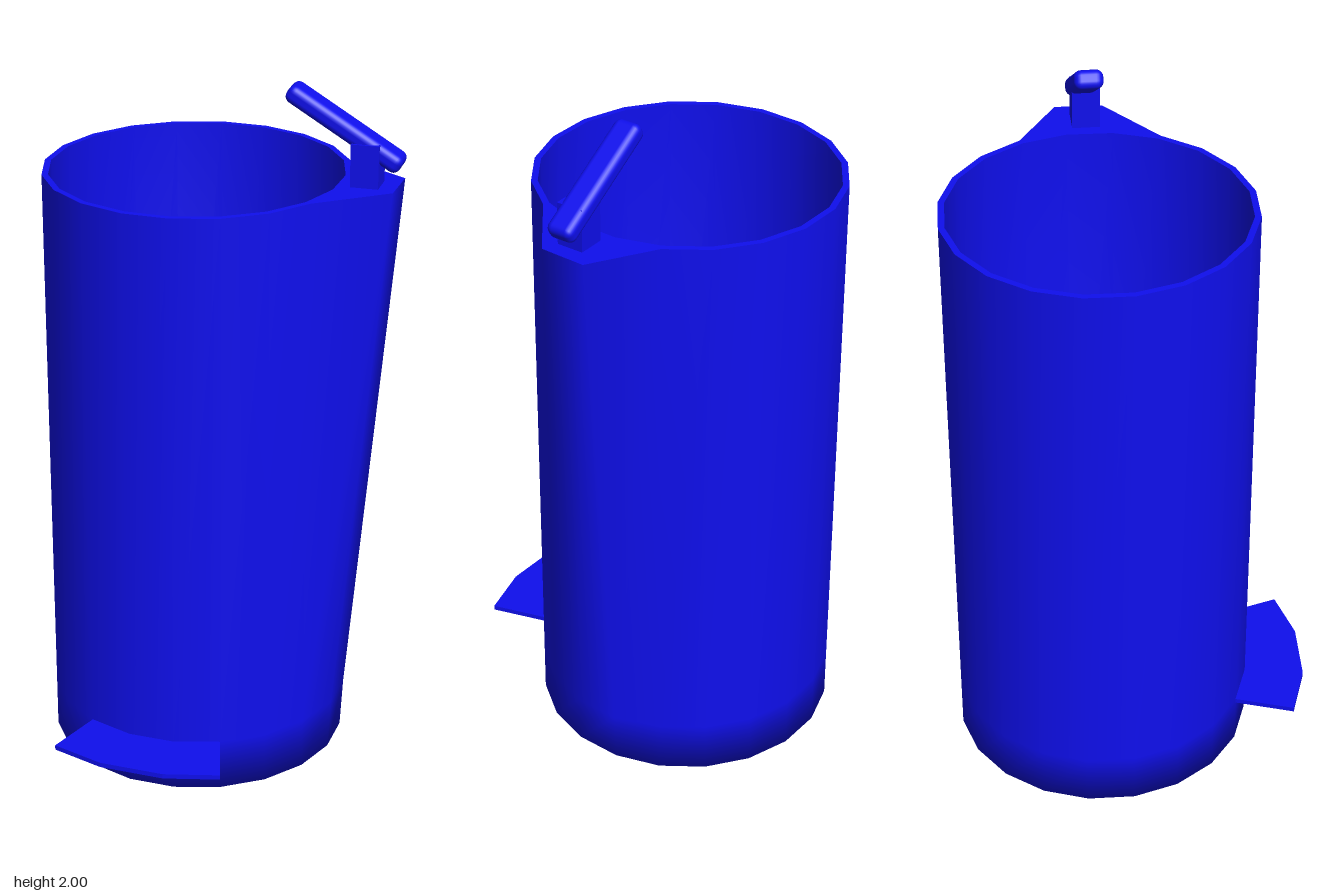
import * as THREE from 'three';
import { RoundedBoxGeometry } from 'three/addons/geometries/RoundedBoxGeometry.js';

const SIDES = 20, CX = -0.08, CZ = -0.09, R = 0.43, RIM = 0.412, TOP = 1.735;

// One ring of the bin; "pull" draws two corners out to the right for the hinge side
function ring(r, y, pull = 0) {
  return Array.from({ length: SIDES }, (_, i) => {
    const a = (i / SIDES) * Math.PI * 2;
    return [CX + r * Math.cos(a) + (i < 2 ? pull : 0), y, CZ + r * Math.sin(a)];
  });
}

// Smooth skin over a stack of rings
function loft(rings) {
  const index = [];
  for (let j = 0; j < rings.length - 1; j++) {
    for (let i = 0; i < SIDES; i++) {
      const k = (i + 1) % SIDES;
      const a = j * SIDES + i, b = j * SIDES + k, c = a + SIDES, d = b + SIDES;
      index.push(a, c, b, b, c, d);
    }
  }
  const g = new THREE.BufferGeometry();
  g.setAttribute('position', new THREE.Float32BufferAttribute(rings.flat(2), 3));
  g.setIndex(index);
  g.computeVertexNormals();
  return g;
}

export function createModel() {
  const group = new THREE.Group();
  const blue = new THREE.MeshStandardMaterial({ color: 0x0f0fee });
  const add = (name, geometry) => {
    const mesh = new THREE.Mesh(geometry, blue);
    mesh.name = name;
    group.add(mesh);
    return mesh;
  };

  // Hollow body: outside with base, flat rim, inside with floor
  add('outerWall', loft([ring(0.001, 0), ring(R, 0), ring(R, 0.15, 0.008), ring(R, TOP, 0.145)]));
  add('rim', loft([ring(R, TOP, 0.145), ring(RIM, TOP)]));
  add('innerWall', loft([ring(RIM, TOP), ring(RIM, 0.05), ring(0.001, 0.05)]));

  // Foot pedal: thin flared plate, its inner edge following the body
  const outline = [
    [-0.33, 0.25], [-0.21, 0.31], [-0.08, 0.33], [0.05, 0.31],
    [0.08, 0.495], [-0.08, 0.515], [-0.265, 0.485], [-0.41, 0.415],
  ].map(([x, z]) => new THREE.Vector2(x, z));
  const plate = new THREE.ExtrudeGeometry(new THREE.Shape(outline), { depth: 0.014, bevelEnabled: false });
  plate.rotateX(Math.PI / 2);
  plate.translate(0, 0.152, 0);
  add('pedal', plate);

  // Post on the rim with a sloping lid arm
  const post = add('armPost', new THREE.BoxGeometry(0.078, 0.14, 0.078));
  post.position.set(0.398, 1.785, -0.023);
  post.rotation.y = -0.12;

  const arm = add('lidArm', new RoundedBoxGeometry(0.367, 0.052, 0.08, 3, 0.02));
  arm.position.set(0.336, 1.888, -0.038);
  arm.rotation.set(0, -0.12, -0.54, 'YXZ');

  return group;
}
